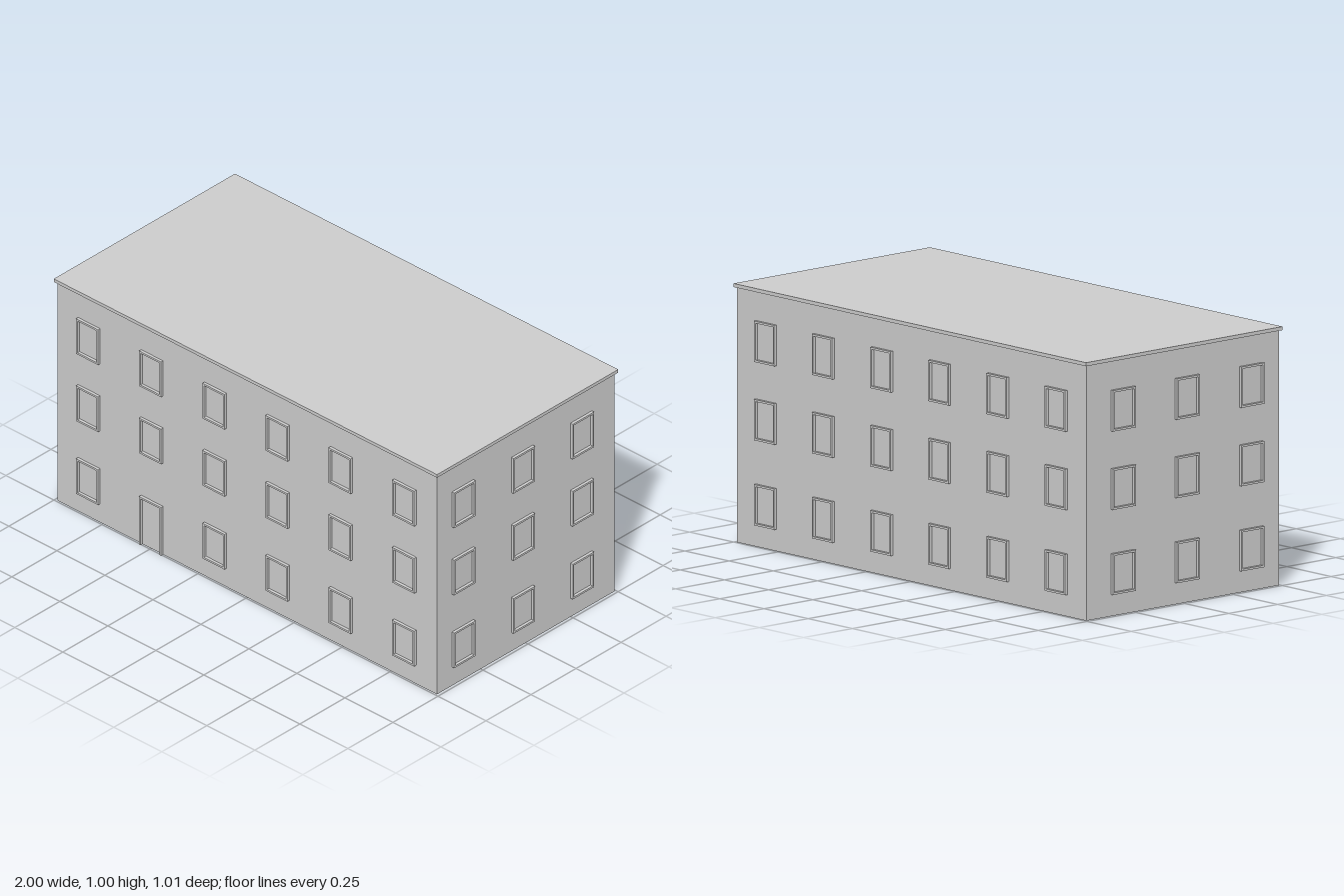
import * as THREE from 'three';

const HX = 0.988, HZ = 0.493, WALL_H = 0.99, ROOF_H = 0.014;
const FRAME_D = 0.012, FRAME_T = 0.008;

// Picture-frame outline extruded outwards; an open bottom gives a door surround
function frameGeometry(w, h, openBottom) {
  const shape = new THREE.Shape();
  const a = w / 2, b = a - FRAME_T, t = h - FRAME_T;
  if (openBottom) {
    [[-a, 0], [-b, 0], [-b, t], [b, t], [b, 0], [a, 0], [a, h], [-a, h]]
      .forEach(([x, y], i) => (i ? shape.lineTo(x, y) : shape.moveTo(x, y)));
  } else {
    shape.moveTo(-a, 0).lineTo(a, 0).lineTo(a, h).lineTo(-a, h);
    const hole = new THREE.Path();
    hole.moveTo(-b, FRAME_T).lineTo(-b, t).lineTo(b, t).lineTo(b, FRAME_T);
    shape.holes.push(hole);
  }
  return new THREE.ExtrudeGeometry(shape, { depth: FRAME_D, bevelEnabled: false });
}

export function createModel() {
  const model = new THREE.Group();
  model.name = 'building';
  const material = new THREE.MeshStandardMaterial({ color: 0xcccccc, flatShading: true });
  const wallMaterial = new THREE.MeshStandardMaterial({ color: 0xcccccc, side: THREE.DoubleSide });

  const sideFrame = frameGeometry(0.119, 0.159, false);
  const frontFrame = frameGeometry(0.115, 0.159, false);
  const doorFrame = frameGeometry(0.115, 0.218, true);

  const rows = [0.084, 0.414, 0.718];
  const frontX = [-0.823, -0.495, -0.165, 0.163, 0.492, 0.823];
  const sideZ = [0.35, 0.02, -0.308];

  // Each facade is built facing +z, then turned into place
  const facades = [
    { name: 'front', turn: 0, half: HX, out: HZ, columns: frontX, frame: frontFrame, door: 1 },
    { name: 'back', turn: Math.PI, half: HX, out: HZ, columns: frontX, frame: frontFrame },
    { name: 'left', turn: Math.PI / 2, half: HZ, out: HX, columns: sideZ.map((z) => -z), frame: sideFrame },
    { name: 'right', turn: -Math.PI / 2, half: HZ, out: HX, columns: sideZ, frame: sideFrame },
  ];

  for (const { name, turn, half, out, columns, frame, door } of facades) {
    const facade = new THREE.Group();
    facade.name = name + 'Facade';
    facade.rotation.y = turn;

    // Thin wall, open underneath
    const wall = new THREE.Mesh(new THREE.PlaneGeometry(half * 2, WALL_H), wallMaterial);
    wall.name = name + 'Wall';
    wall.position.set(0, WALL_H / 2, out);
    facade.add(wall);

    // Window frames, with a door surround in the ground floor where needed
    columns.forEach((x, c) => rows.forEach((y, r) => {
      const isDoor = r === 0 && c === door;
      const mesh = new THREE.Mesh(isDoor ? doorFrame : frame, material);
      mesh.name = isDoor ? 'doorFrame' : 'windowFrame';
      mesh.position.set(x, isDoor ? 0 : y, out);
      facade.add(mesh);
    }));
    model.add(facade);
  }

  // Flat roof slab with a slight overhang
  const roof = new THREE.Mesh(new THREE.BoxGeometry(1.996, ROOF_H, 1.006), material);
  roof.name = 'roof';
  roof.position.y = WALL_H + ROOF_H / 2;
  model.add(roof);

  return model;
}
